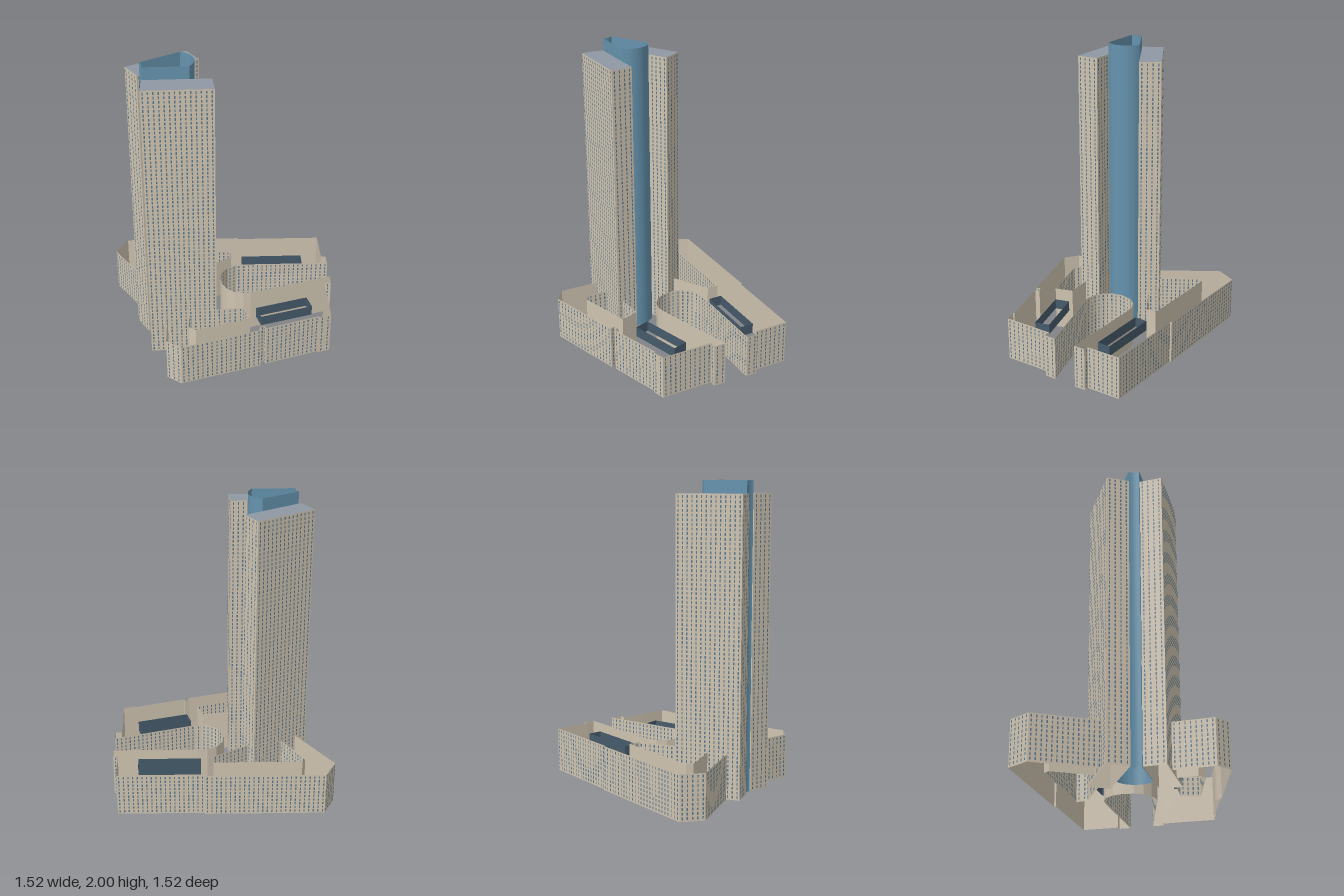
import * as THREE from 'three';
import { toCreasedNormals } from 'three/addons/utils/BufferGeometryUtils.js';

const PODIUM_TOP = 0.295, TOWER_TOP = 1.92, CORE_TOP = 2;

function material(name, color, doubleSided = true) {
  const m = new THREE.MeshStandardMaterial({ color });
  m.name = name;
  if (doubleSided) m.side = THREE.DoubleSide;
  return m;
}

// One upright rectangle above the plan line a-b, facing (dz, -dx) of that line
function pushQuad(out, a, b, y0, y1) {
  const [ax, az] = a, [bx, bz] = b;
  out.push(ax, y0, az, ax, y1, az, bx, y1, bz, ax, y0, az, bx, y1, bz, bx, y0, bz);
}

function toGeometry(positions) {
  const g = new THREE.BufferGeometry();
  g.setAttribute('position', new THREE.Float32BufferAttribute(positions, 3));
  g.computeVertexNormals();
  return g;
}

function segments(path, closed) {
  const list = path.slice(1).map((p, i) => [path[i], p]);
  if (closed) list.push([path[path.length - 1], path[0]]);
  return list;
}

// Thin upright wall along a plan path
function wallGeometry(path, y0, y1, closed) {
  const out = [];
  for (const [a, b] of segments(path, closed)) pushQuad(out, a, b, y0, y1);
  return toGeometry(out);
}

// Columns of small windows just off the face of a wall
function windowGeometry(path, top, closed) {
  const out = [], floor = 0.0285, bay = 0.03, half = 0.004, gap = 0.0025;
  for (const [a, b] of segments(path, closed)) {
    const dx = b[0] - a[0], dz = b[1] - a[1], len = Math.hypot(dx, dz);
    const ux = dx / len, uz = dz / len;
    const count = Math.floor(len / bay);
    for (let i = 0; i < count; i++) {
      const t = (i + 0.5) * len / count;
      const at = s => [a[0] + ux * s + uz * gap, a[1] + uz * s - ux * gap];
      for (let y = 0.012; y + 0.02 < top; y += floor) {
        pushQuad(out, at(t - half), at(t + half), y, y + 0.018);
      }
    }
  }
  return toGeometry(out);
}

export function createModel() {
  const model = new THREE.Group();
  model.name = 'twinTowerComplex';
  const beige = material('beige facade', 0xcfc4b1);
  const blue = material('blue glass', 0x6593ae);
  const slate = material('dark slate', 0x465a6b);
  const glass = material('window blue', 0x5a7a94, false);
  const grey = material('roof grey', 0x8f99a3);

  const add = (name, geometry, mat, parent = model) => {
    const mesh = new THREE.Mesh(geometry, mat);
    mesh.name = name;
    parent.add(mesh);
    return mesh;
  };

  const facade = (name, path, top, closed) => {
    const group = new THREE.Group();
    group.name = name;
    add(name + 'Wall', wallGeometry(path, 0, top, closed), beige, group);
    add(name + 'Windows', windowGeometry(path, top, closed), glass, group);
    model.add(group);
    return group;
  };

  // Open-topped podium: outer wall with two wings around a rounded court
  facade('podium', [
    [-0.255, 0.51], [-0.69, 0.5], [-0.765, 0.36], [-0.32, -0.295], [-0.31, -0.29],
    [0.015, -0.765], [0.215, -0.635], [0.235, -0.66], [0.3, -0.62],
    [-0.02, -0.15], [-0.055, -0.09], [-0.065, -0.02], [-0.04, 0.045], [0.01, 0.095],
    [0.07, 0.12], [0.13, 0.125], [0.19, 0.105], [0.235, 0.065], [0.26, 0.02],
    [0.43, -0.53], [0.495, -0.485], [0.47, -0.45], [0.61, -0.355], [0.76, -0.26],
    [0.735, -0.18], [0.725, -0.185], [0.62, 0.17], [0.59, 0.16], [0.585, 0.195],
    [0.615, 0.205], [0.455, 0.72], [0.35, 0.76], [0.135, 0.61],
  ], PODIUM_TOP, false);

  // Inner courtyards, facing inwards
  facade('rightCourtyard', [
    [-0.17, 0.165], [-0.155, -0.11], [-0.215, -0.155], [-0.55, 0.335],
    [-0.53, 0.375], [-0.26, 0.385],
  ], PODIUM_TOP, false);
  facade('leftCourtyard', [
    [0.21, 0.485], [0.315, 0.565], [0.37, 0.545], [0.48, 0.195], [0.36, 0.16], [0.275, 0.315],
  ], PODIUM_TOP, false);

  // Two slab towers with flat roofs
  const towers = {
    rightTower: [[-0.24, 0.165], [-0.095, 0.17], [-0.115, 0.603], [-0.26, 0.597]],
    leftTower: [[0.18, 0.265], [0.305, 0.335], [0.07, 0.7], [-0.045, 0.615]],
  };
  for (const [name, path] of Object.entries(towers)) {
    const tower = facade(name, path, TOWER_TOP, true);
    const shape = new THREE.Shape(path.map(([x, z]) => new THREE.Vector2(x, -z)));
    const roof = new THREE.ShapeGeometry(shape).rotateX(-Math.PI / 2);
    add(name + 'Roof', roof, grey, tower).position.y = TOWER_TOP;
  }

  // Curved glass core between the towers, open at the top
  const curve = (points, n) => new THREE.SplineCurve(points.map(p => new THREE.Vector2(...p)))
    .getPoints(n).map(p => [p.x, p.y]);
  const core = [
    ...curve([[-0.098, 0.305], [-0.06, 0.285], [-0.01, 0.28], [0.04, 0.295], [0.08, 0.328], [0.107, 0.375]], 20),
    ...curve([[-0.046, 0.61], [-0.06, 0.598], [-0.085, 0.588], [-0.112, 0.586]], 6),
  ];
  add('glassCore', toCreasedNormals(wallGeometry(core, 0, CORE_TOP, true), 0.5), blue);

  // Rectangular skylight frames set into the wings
  const skylight = (name, x, z, ax, az, length, width) => {
    const k = Math.hypot(ax, az), ux = ax / k, uz = az / k;
    const path = [[-1, -1], [-1, 1], [1, 1], [1, -1]].map(([s, t]) => [
      x + ux * s * length / 2 - uz * t * width / 2,
      z + uz * s * length / 2 + ux * t * width / 2,
    ]);
    add(name, wallGeometry(path, 0.19, 0.26, true), slate);
  };
  skylight('leftWingSkylight', 0.48, -0.09, -0.3, 0.95, 0.36, 0.1);
  skylight('rightWingSkylight', 0.0, -0.36, -0.56, 0.83, 0.42, 0.09);

  return model;
}
